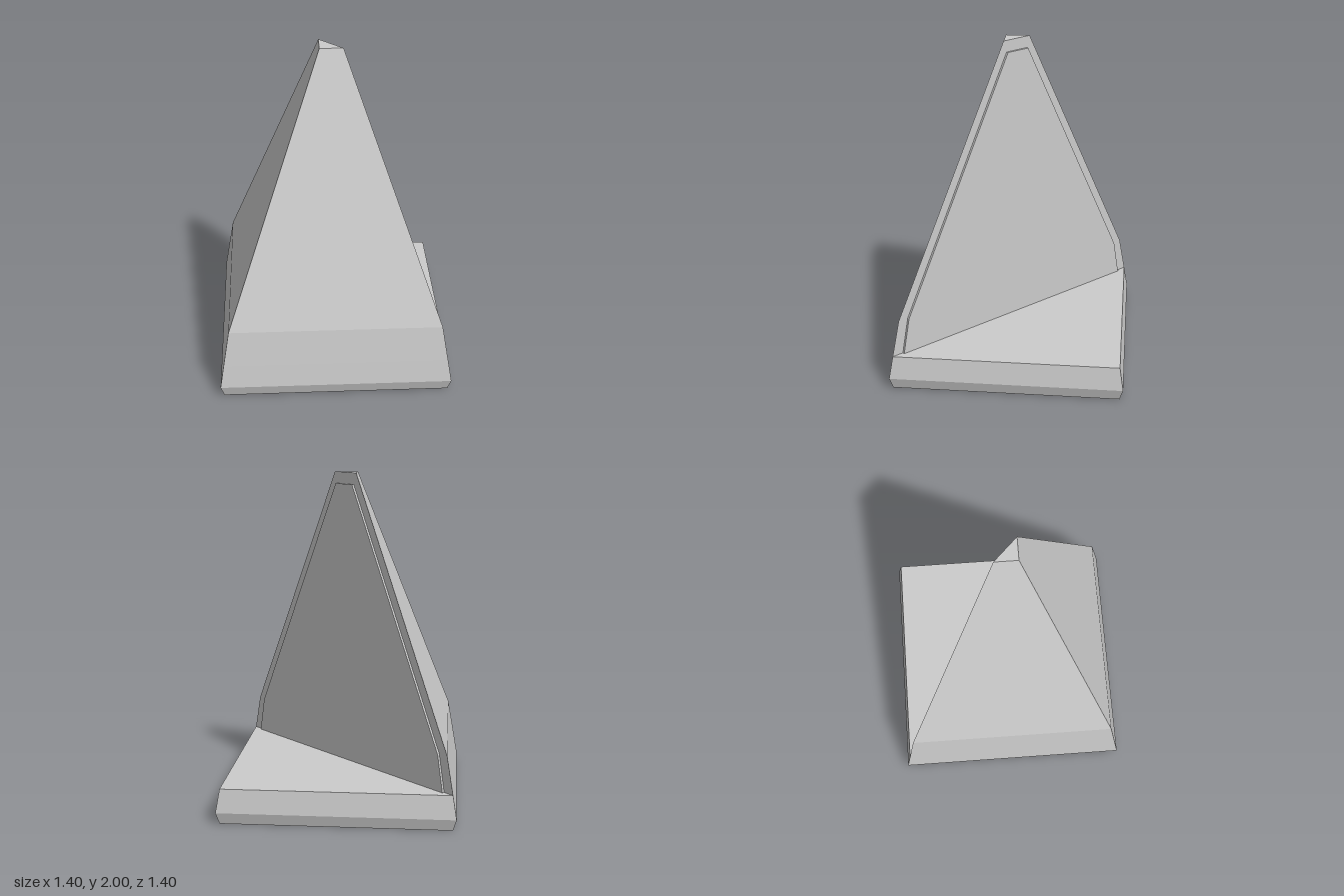
import * as THREE from 'three';

const material = new THREE.MeshStandardMaterial({ color: 0xcccccc, flatShading: true });

// Stack scaled copies of a footprint ([x, z] corners, counter-clockwise from above) and cap the ends
function loft(name, footprint, levels) {
  const rings = levels.map(([y, half]) => footprint.map(([x, z]) => [x * half, y, z * half]));
  const n = footprint.length;
  const pos = [];
  const tri = (a, b, c) => pos.push(...a, ...b, ...c);
  for (let k = 0; k < rings.length - 1; k++) {
    const lo = rings[k], hi = rings[k + 1];
    for (let i = 0; i < n; i++) {
      const j = (i + 1) % n;
      tri(lo[i], lo[j], hi[j]);
      tri(lo[i], hi[j], hi[i]);
    }
  }
  const bottom = rings[0], top = rings[rings.length - 1];
  for (let i = 1; i < n - 1; i++) {
    tri(bottom[0], bottom[i + 1], bottom[i]);
    tri(top[0], top[i], top[i + 1]);
  }
  const geometry = new THREE.BufferGeometry();
  geometry.setAttribute('position', new THREE.Float32BufferAttribute(pos, 3));
  geometry.computeVertexNormals();
  const mesh = new THREE.Mesh(geometry, material);
  mesh.name = name;
  return mesh;
}

export function createModel() {
  const group = new THREE.Group();
  group.name = 'halfPyramid';

  // Square plinth with a bevelled foot
  const square = [[-1, 1], [1, 1], [1, -1], [-1, -1]];
  group.add(loft('plinth', square, [[0, 0.68], [0.07, 0.7], [0.21, 0.677]]));

  // Tapered spire, cut in half along the diagonal
  const triangle = [[-1, 1], [1, 1], [-1, -1]];
  group.add(loft('halfSpire', triangle, [[0.21, 0.677], [0.43, 0.64], [2, 0.07]]));

  // Thin raised panel on the diagonal cut face
  const profile = [[0.625, 0.21], [0.594, 0.43], [0.054, 1.93]];
  const right = profile.map(([t, y]) => new THREE.Vector2(t * Math.SQRT2, y));
  const left = right.map((p) => new THREE.Vector2(-p.x, p.y)).reverse();
  const panel = new THREE.Mesh(
    new THREE.ExtrudeGeometry(new THREE.Shape([...right, ...left]), { depth: 0.014, bevelEnabled: false }),
    material
  );
  panel.rotation.y = Math.PI * 0.75;
  panel.name = 'cutFacePanel';
  group.add(panel);

  return group;
}
